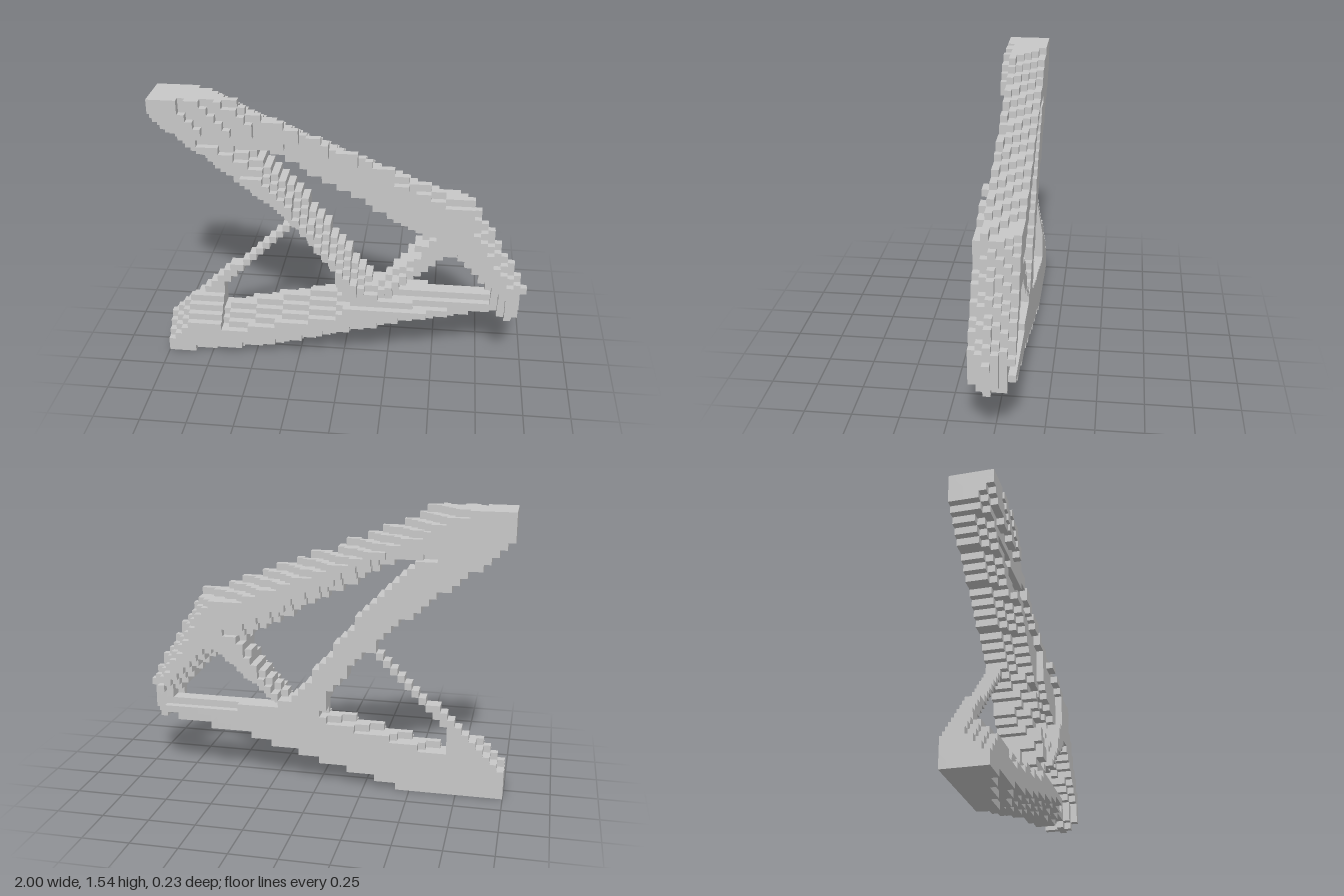
import * as THREE from 'three';

// Stepped truss on a 52 x 40 x 6 grid of cubes, six layers deep (layer 0 is the back)
const NX = 52, NY = 40, NZ = 6, S = 2 / NX;

// Straight-line value between [t, value] knots
function along(knots, t) {
  let n = 1;
  while (n < knots.length - 1 && t > knots[n][0]) n++;
  const [t0, a] = knots[n - 1], [t1, b] = knots[n];
  return a + (b - a) * Math.min(1, (t - t0) / (t1 - t0));
}

// Edge trim of a layer: zero at the fullest layer, growing to the back and front values
function trim([peak, back, front], k) {
  return k < peak ? back * (peak - k) / peak : front * (k - peak) / (NZ - 1 - peak);
}

// A member fills the cells between two edge lines running along x, or along y when upright
function member(name, low, high, lowTrim, highTrim, { upright = false, keep = () => true } = {}) {
  const contains = (i, j, k) => {
    const [t, v] = upright ? [j + 0.5, i + 0.5] : [i + 0.5, j + 0.5];
    if (t < high[0][0] || t > high[high.length - 1][0] || !keep(i, j, k)) return false;
    return v > along(low, t) + trim(lowTrim, k) && v < along(high, t) - trim(highTrim, k);
  };
  return { name, contains };
}

// The top beam's two front layers are only broken ridges and scattered cubes
function topBeamCell(i, j, k) {
  const ridge = j + 0.41 * i > 41.3;
  if (k < 4) return true;
  if (k === 4) return i < 18 || i > 30 || (ridge && i % 4 > 0);
  if (i < 14) return j > 34 && (i < 4 || (i + j) % 4 < 2);
  return i > 30 && j < 29 && i % 5 > 0 && (ridge || i > 38);
}

function makeMembers() {
  // Sloping top beam
  const upperBeam = member('upperBeam',
    [[0, 36], [5, 32.5], [16, 32.2], [37, 20.3], [44, 20]],
    [[0, 44.5], [11.5, 39.6], [12.5, 38.7], [40, 27.6], [44, 26.6]],
    [2.5, 2, 2], [4, 2.3, 0.8], { keep: topBeamCell });
  // Long brace, flat at the back and rounded towards the front
  const mainDiagonal = member('mainDiagonal',
    [[0, 36], [16, 23.5], [19, 20.8], [25, 13], [26, 9]],
    [[0, 38], [14, 32], [18, 28], [28, 14.5], [31, 11.5]],
    [2, 0, 2.2], [2, 0, 2.6], { keep: (i, j, k) => k < 5 || j < 29 });
  // Rising bottom beam
  const lowerBeam = member('lowerBeam',
    [[0, -1.6], [15, 0.51], [36, 6.45], [49, 8.8]],
    [[0, 4.3], [4, 8], [7.5, 8], [8, 6.2], [25, 10.4], [27, 11.6], [49, 11]],
    [2, 0, 1.6], [2, 0.8, 2.8]);
  // Thin strut, two layers deep at the back
  const thinStrut = member('thinStrut',
    [[0, 3], [7.9, 6], [8, 9], [14, 15], [19, 20.5]],
    [[0, 3.7], [5, 8.7], [10, 13], [19, 22]],
    [1, 0, 0], [1, 0, 0], { keep: (i, j, k) => k < 2 });
  const shortDiagonal = member('shortDiagonal',
    [[29, 8], [33, 11.2], [41, 18]],
    [[29, 11.5], [31, 12.3], [36, 18.2], [38, 22], [42, 22]],
    [2.5, 1.2, 1.4], [2.5, 1, 1.4]);
  const endPost = member('endPost',
    [[8, 49], [9, 47], [12, 47], [18, 41.5], [20, 37.5], [26, 37]],
    [[8, 51], [11, 51.4], [13, 51.7], [19, 48], [26, 44]],
    [3, 2.2, 1.5], [3, 2, 1.6], { upright: true });
  return [upperBeam, mainDiagonal, lowerBeam, thinStrut, shortDiagonal, endPost];
}

export function createModel() {
  const grey = new THREE.MeshStandardMaterial({ color: 0xc8c8c8 });
  grey.name = 'plainGrey';
  const members = makeMembers();

  // Each cell belongs to the first member that covers it
  const size = [NX, NY, NZ];
  const owner = new Int8Array(NX * NY * NZ);
  const index = c => (c[2] * NY + c[1]) * NX + c[0];
  const each = fn => {
    for (let k = 0; k < NZ; k++)
      for (let j = 0; j < NY; j++)
        for (let i = 0; i < NX; i++) fn([i, j, k]);
  };
  each(c => { owner[index(c)] = members.findIndex(m => m.contains(...c)); });

  // Only the exposed cube faces are built
  const points = members.map(() => []);
  each(c => {
    const id = owner[index(c)];
    if (id < 0) return;
    for (let a = 0; a < 3; a++) {
      for (const d of [-1, 1]) {
        const next = c.slice();
        next[a] += d;
        if (next[a] >= 0 && next[a] < size[a] && owner[index(next)] >= 0) continue;
        const corner = (u, v) => {
          const p = c.slice();
          p[a] += d > 0 ? 1 : 0;
          p[(a + 1) % 3] += u;
          p[(a + 2) % 3] += v;
          return [p[0] * S - 1, p[1] * S, (p[2] - NZ / 2) * S];
        };
        const q = [corner(0, 0), corner(1, 0), corner(1, 1), corner(0, 1)];
        if (d < 0) q.reverse();
        for (const n of [0, 1, 2, 0, 2, 3]) points[id].push(...q[n]);
      }
    }
  });

  const group = new THREE.Group();
  group.name = 'steppedTruss';
  members.forEach((m, n) => {
    const geometry = new THREE.BufferGeometry();
    geometry.setAttribute('position', new THREE.Float32BufferAttribute(points[n], 3));
    geometry.computeVertexNormals();
    const mesh = new THREE.Mesh(geometry, grey);
    mesh.name = m.name;
    group.add(mesh);
  });
  return group;
}
